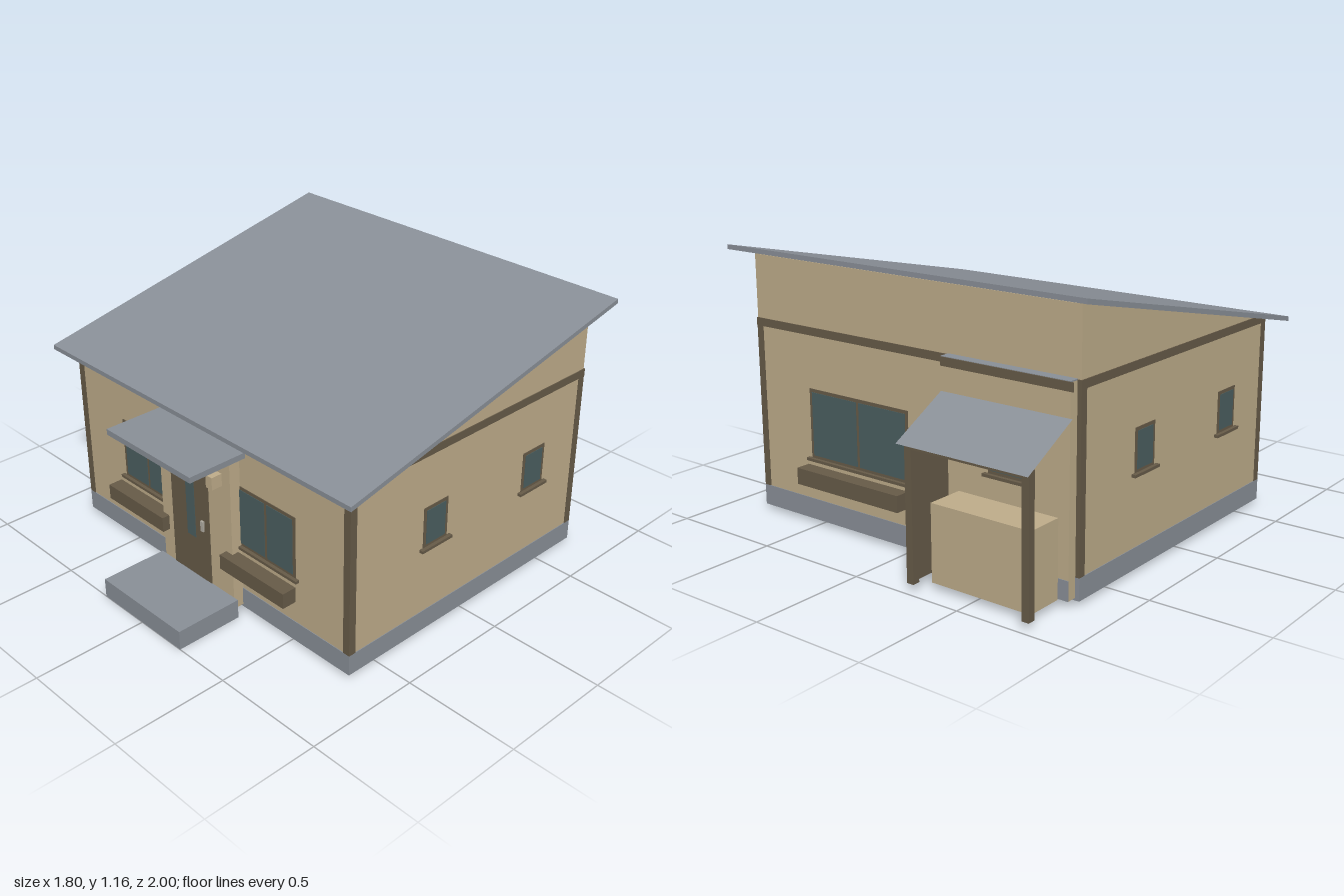
import * as THREE from 'three';

const mat = (name, color) => {
  const m = new THREE.MeshStandardMaterial({ color, side: THREE.DoubleSide });
  m.name = name;
  return m;
};

export function createModel() {
  const house = new THREE.Group();
  house.name = 'house';
  const plaster = mat('tan plaster', 0xbfad8b);
  const slate = mat('grey slate', 0x8a9098);
  const wood = mat('dark wood', 0x675b48);
  const glass = mat('dark glass', 0x4b5f60);
  const metal = mat('light metal', 0xb0aca2);

  const add = (name, geo, material, parent = house) => {
    const m = new THREE.Mesh(geo, material);
    m.name = name;
    parent.add(m);
    return m;
  };
  // Box given by its limits on each axis
  const box = (name, material, x0, x1, y0, y1, z0, z1, parent) => {
    const g = new THREE.BoxGeometry(x1 - x0, y1 - y0, z1 - z0);
    g.translate((x0 + x1) / 2, (y0 + y1) / 2, (z0 + z1) / 2);
    return add(name, g, material, parent);
  };
  // Outline in (z, y) extruded along x from x0 to x1
  const prism = (name, material, pts, x0, x1) => {
    const s = new THREE.Shape(pts.map(p => new THREE.Vector2(...p)));
    const g = new THREE.ExtrudeGeometry(s, { depth: x1 - x0, bevelEnabled: false });
    g.rotateY(-Math.PI / 2).translate(x1, 0, 0);
    return add(name, g, material);
  };

  const W = 0.825, F = 0.65, B = -0.7, T = 0.02;
  const under = z => 0.815 + (0.725 - z) * 0.2153; // underside of the roof

  // Single-slope roof
  prism('roof', slate, [[0.725, 0.815], [0.725, 0.835], [-0.78, under(-0.78) + 0.02], [-0.78, under(-0.78)]], -0.9, 0.9);

  // Hollow walls
  for (const s of [-1, 1]) {
    const xs = [s * W, s * (W - T)].sort((a, b) => a - b);
    prism('sideWall', plaster, [[F, 0.1], [F, under(F)], [B, under(B)], [B, 0.1]], ...xs);
  }
  box('frontWall', plaster, -W + T, W - T, 0.1, under(F), F - T, F);
  box('backWall', plaster, -W + T, W - T, 0.1, under(B + T), B, B + T);

  // Foundation ring
  const e = 0.003;
  for (const s of [-1, 1]) {
    const xs = [s * (W + e), s * (W - T - e)].sort((a, b) => a - b);
    box('sideFoundation', slate, ...xs, 0.02, 0.11, B - e, F + e);
  }
  box('frontFoundation', slate, -W + T, W - T, 0.02, 0.11, F - T - e, F + e);
  box('backFoundation', slate, -W + T, W - T, 0.02, 0.11, B - e, B + T + e);

  // Corner posts and ring beam
  for (const s of [-1, 1]) {
    const xs = [s * (W + e), s * (W - 0.03)].sort((a, b) => a - b);
    box('cornerPost', wood, ...xs, 0.11, 0.83, F - 0.03, F + e);
    box('cornerPost', wood, ...xs, 0.11, 0.83, B - e, B + 0.03);
    const bx = [s * (W + 0.004), s * (W - 0.01)].sort((a, b) => a - b);
    box('sideBeam', wood, ...bx, 0.815, 0.849, B - 0.004, F + 0.004);
  }
  box('frontBeam', wood, -W, W, 0.815, 0.849, F - 0.01, F + 0.004);
  box('backBeam', wood, -W, W, 0.815, 0.849, B - 0.004, B + 0.01);

  // Window facing local +z, passing through the wall, with a sill
  const windowAt = (x, y0, y1, z, turn, w, panes, sill = 0.018) => {
    const g = new THREE.Group();
    g.name = 'window';
    const h = w / 2, f = 0.014;
    box('frame', wood, -h, h, y0, y1, -T - 0.003, 0.003, g);
    const pw = (w - f * (panes + 1)) / panes;
    for (let i = 0; i < panes; i++) {
      const l = -h + f + i * (pw + f);
      box('pane', glass, l, l + pw, y0 + f, y1 - f, -T - 0.005, 0.005, g);
    }
    box('sill', wood, -h - 0.018, h + 0.018, y0 - 0.01, y0 + 0.002, 0, sill, g);
    g.position.set(x, 0, z);
    g.rotation.y = turn;
    house.add(g);
  };
  for (const s of [-1, 1]) {
    windowAt(s * 0.37, 0.315, 0.59, F, 0, 0.33, 2);
    box('flowerBox', wood, s * 0.368 - 0.185, s * 0.368 + 0.185, 0.225, 0.292, 0.67, 0.735);
  }
  windowAt(0.26, 0.29, 0.59, B, Math.PI, 0.54, 2);
  box('flowerBox', wood, -0.02, 0.535, 0.197, 0.267, -0.785, -0.72);
  for (const z of [0.19, -0.403]) windowAt(W, 0.41, 0.59, z, Math.PI / 2, 0.135, 1);
  for (const z of [0.34, -0.28]) windowAt(-W, 0.41, 0.59, z, -Math.PI / 2, 0.135, 1);

  // Front porch wall with door, canopy, lamp and hollow step
  box('porchWall', plaster, -0.22, 0.22, 0.03, 0.73, F, 0.7);
  box('porchCanopy', slate, -0.257, 0.257, 0.73, 0.755, 0.65, 0.92);
  box('door', wood, -0.15, 0.085, 0.085, 0.635, 0.697, 0.703);
  box('doorGlass', glass, -0.055, -0.003, 0.27, 0.55, 0.699, 0.705);
  box('doorHandle', metal, 0.038, 0.054, 0.325, 0.372, 0.7, 0.712);
  box('lamp', plaster, 0.135, 0.172, 0.59, 0.645, 0.7, 0.75);
  const step = box('step', slate, -0.245, 0.243, 0, 0.085, 0.7, 1);
  const idx = [...step.geometry.index.array];
  idx.splice(18, 6); // open underside
  step.geometry.setIndex(idx);
  step.geometry.clearGroups();

  // Rear projection with beam, base and window
  box('rearWall', plaster, -0.81, -0.22, 0.03, 0.847, -0.745, B);
  box('rearCap', slate, -0.81, -0.22, 0.847, 0.852, -0.745, B);
  box('rearBeam', wood, -0.825, -0.22, 0.815, 0.85, -0.749, -0.745);
  box('rearBase', slate, -0.81, -0.22, 0.03, 0.11, -0.748, -0.745);
  windowAt(-0.535, 0.44, 0.62, -0.745, Math.PI, 0.18, 1);

  // Lean-to shelter: sheet roof, posts, side panel and storage chest
  const sheet = new THREE.PlaneGeometry(0.6, Math.hypot(0.255, 0.141));
  sheet.rotateX(-Math.PI / 2 - Math.atan2(0.141, 0.255));
  add('shelterRoof', sheet, slate).position.set(-0.52, 0.6465, -0.8725);
  for (const x of [-0.255, -0.79]) box('shelterPost', wood, x - 0.016, x + 0.016, 0.03, 0.585, -0.975, -0.943);
  box('shelterBeam', wood, -0.806, -0.239, 0.555, 0.583, -0.972, -0.946);
  box('shelterPanel', wood, -0.25, -0.235, 0.03, 0.6, -0.955, -0.745);
  box('storageChest', plaster, -0.77, -0.31, 0.03, 0.345, -0.916, -0.755);

  return house;
}
